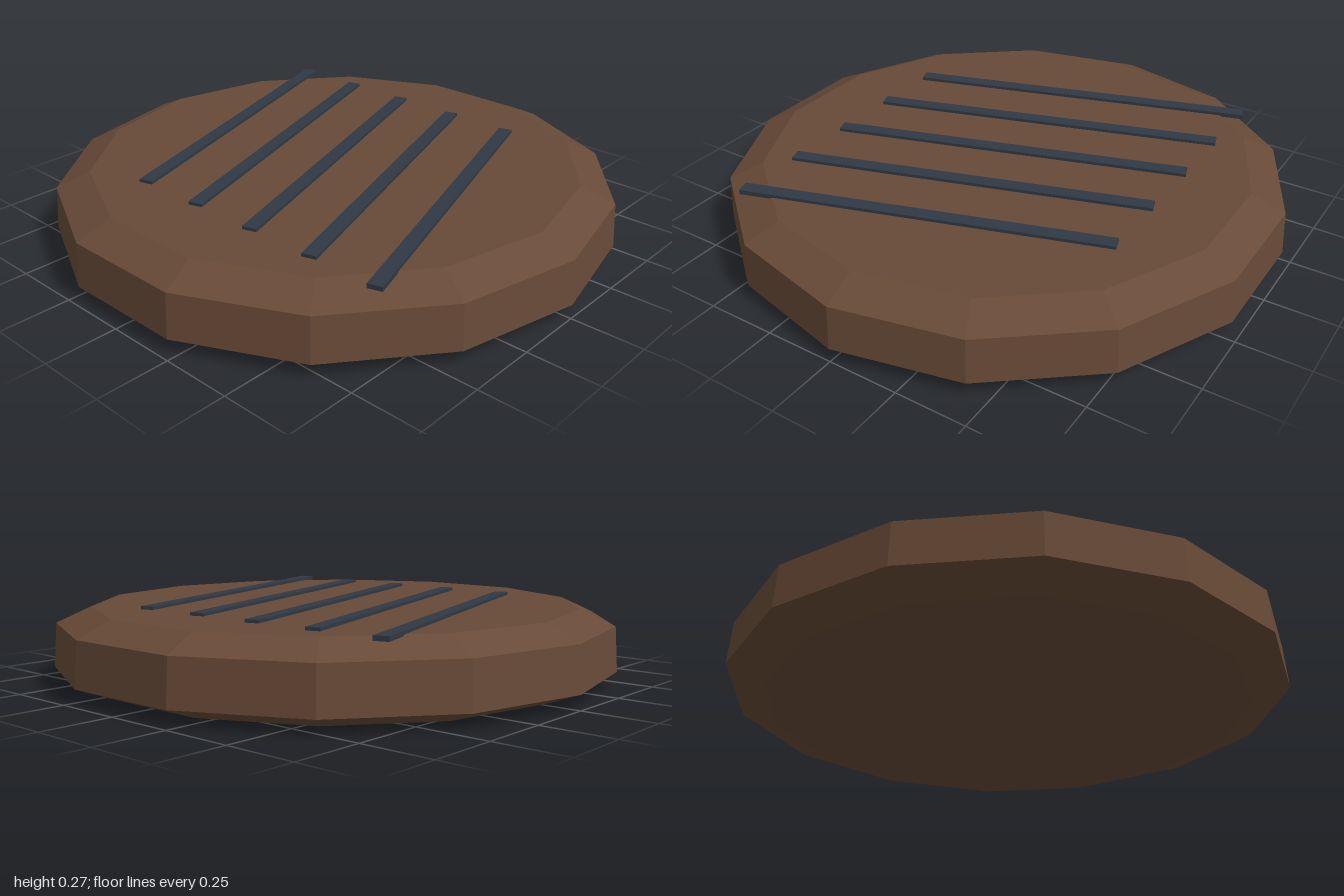
import * as THREE from 'three';

export function createModel() {
  const model = new THREE.Group();
  const brown = new THREE.MeshStandardMaterial({ color: 0x684a37, flatShading: true });
  brown.name = 'brown';
  const charcoal = new THREE.MeshStandardMaterial({ color: 0x2f3944, flatShading: true });
  charcoal.name = 'charcoal';

  // Fourteen-sided disc with bevelled rims, a corner on the x axis
  const profile = [[0, 0], [0.865, 0], [1, 0.05], [0.99, 0.205], [0.87, 0.26], [0, 0.26]]
    .map(([r, y]) => new THREE.Vector2(r, y));
  const patty = new THREE.Mesh(new THREE.LatheGeometry(profile, 14, Math.PI / 2), brown);
  patty.name = 'patty';
  model.add(patty);

  // Five slanted grill marks lying on top
  const grillMarks = new THREE.Group();
  grillMarks.name = 'grillMarks';
  const barGeometry = new THREE.BoxGeometry(0.05, 0.016, 1.28);
  for (let i = -2; i <= 2; i++) {
    const bar = new THREE.Mesh(barGeometry, charcoal);
    bar.name = 'grillMark';
    bar.position.set(i * 0.257, 0.263, 0);
    bar.rotation.y = 0.31;
    grillMarks.add(bar);
  }
  model.add(grillMarks);

  return model;
}
